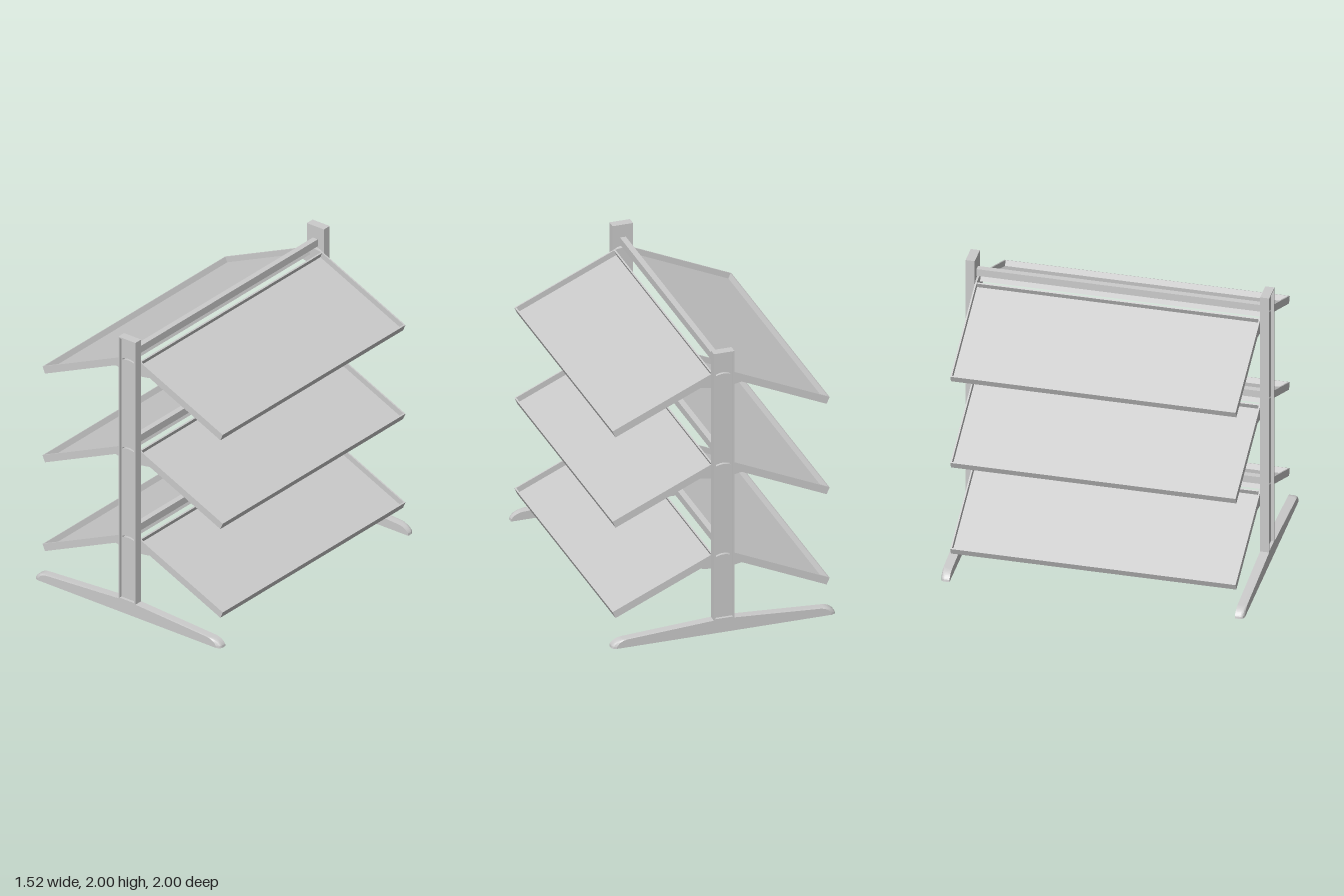
import * as THREE from 'three';

const material = new THREE.MeshStandardMaterial({ color: 0xcccccc, flatShading: true });
const SLOPE = THREE.MathUtils.degToRad(24);
const LEVELS = [0.54, 1.187, 1.834]; // height of each shelf's inner rim
const INNER_X = 0.055; // inner rim to centre plane
const SHELF_LENGTH = 0.747, RIM = 0.05, HALF_Z = 0.94, SHEET = 0.012;

function add(parent, name, geometry, x = 0, y = 0, z = 0) {
  const mesh = new THREE.Mesh(geometry, material);
  mesh.name = name;
  mesh.position.set(x, y, z);
  parent.add(mesh);
  return mesh;
}

const box = (w, h, d) => new THREE.BoxGeometry(w, h, d);
const extrude = (shape, depth, steps = 1) =>
  new THREE.ExtrudeGeometry(shape, { depth, steps, bevelEnabled: false, curveSegments: 8 });

// Long tapering foot with rounded toes
function footGeometry() {
  const s = new THREE.Shape();
  s.moveTo(-0.76, 0);
  s.lineTo(0.76, 0);
  s.lineTo(0.757, 0.015);
  s.quadraticCurveTo(0.735, 0.05, 0.685, 0.056);
  s.lineTo(0.07, 0.092);
  s.lineTo(-0.07, 0.092);
  s.lineTo(-0.685, 0.056);
  s.quadraticCurveTo(-0.735, 0.05, -0.757, 0.015);
  const geometry = extrude(s, 0.06, 8);
  // Round the outer corners in plan
  const p = geometry.attributes.position;
  for (let i = 0; i < p.count; i++) {
    const x = p.getX(i), t = Math.max(0, (p.getZ(i) - 0.03) / 0.03);
    if (Math.abs(x) > 0.6) p.setX(i, x - Math.sign(x) * 0.03 * (1 - Math.sqrt(Math.max(0, 1 - t * t))));
  }
  geometry.computeVertexNormals();
  return geometry;
}

// Post web with a crescent slot over each shelf joint
function webGeometry() {
  const s = new THREE.Shape();
  s.moveTo(-0.07, 0.09);
  s.lineTo(0.07, 0.09);
  s.lineTo(0.07, 2);
  s.lineTo(-0.07, 2);
  for (const y of LEVELS) {
    const slot = new THREE.Path();
    slot.moveTo(-0.05, y - 0.005);
    slot.quadraticCurveTo(0, y + 0.016, 0.05, y - 0.005);
    slot.lineTo(0.05, y + 0.006);
    slot.quadraticCurveTo(0, y + 0.028, -0.05, y + 0.006);
    slot.closePath();
    s.holes.push(slot);
  }
  return extrude(s, 0.04);
}

// Upright frame: foot and a channel post open to the outside
function createUpright() {
  const g = new THREE.Group();
  g.name = 'upright';
  add(g, 'foot', footGeometry(), 0, 0, HALF_Z);
  add(g, 'postWeb', webGeometry(), 0, 0, HALF_Z);
  for (const side of [-1, 1]) add(g, 'postFlange', box(0.01, 1.91, 0.02), side * 0.065, 1.045, 0.99);
  add(g, 'postCap', box(0.12, 0.008, 0.02), 0, 1.996, 0.99);
  add(g, 'postBase', box(0.12, 0.01, 0.02), 0, 0.095, 0.99);
  return g;
}

// One sloping tray: sunken panel with a raised lip on both long edges
function createTray() {
  const g = new THREE.Group();
  g.name = 'tray';
  const depth = 2 * HALF_Z - 0.02;
  add(g, 'panel', box(SHELF_LENGTH - 0.02, SHEET, depth), SHELF_LENGTH / 2, -RIM + SHEET / 2);
  add(g, 'innerLip', box(0.01, RIM, depth), 0.005, -RIM / 2);
  add(g, 'outerLip', box(0.01, RIM, depth), SHELF_LENGTH - 0.005, -RIM / 2);
  g.position.x = INNER_X;
  g.rotation.z = -SLOPE;
  return g;
}

// End plate joining both trays across the middle with a curved belly
function endPlateGeometry() {
  const c = Math.cos(SLOPE), n = Math.sin(SLOPE);
  const tipX = INNER_X + SHELF_LENGTH * c, tipY = -SHELF_LENGTH * n;
  const lowX = tipX - RIM * n, lowY = tipY - RIM * c;
  const neckX = 0.14, neckY = lowY + (lowX - neckX) * Math.tan(SLOPE);
  const s = new THREE.Shape();
  s.moveTo(INNER_X, 0);
  s.lineTo(tipX, tipY);
  s.lineTo(lowX, lowY);
  s.lineTo(neckX, neckY);
  s.quadraticCurveTo(0, neckY - 0.03, -neckX, neckY);
  s.lineTo(-lowX, lowY);
  s.lineTo(-tipX, tipY);
  s.lineTo(-INNER_X, 0);
  s.quadraticCurveTo(0, 0.011, INNER_X, 0);
  return extrude(s, 0.01);
}

// Double-sided shelf with its rail above the ridge
function createShelf(y) {
  const g = new THREE.Group();
  g.name = 'shelf';
  g.position.y = y;
  for (const turn of [0, Math.PI]) {
    const half = new THREE.Group();
    half.name = 'shelfHalf';
    half.rotation.y = turn;
    half.add(createTray());
    add(half, 'endPlate', endPlateGeometry(), 0, 0, HALF_Z - 0.01);
    g.add(half);
  }
  add(g, 'ridgeRail', box(0.04, 0.05, 2 * HALF_Z), 0, 0.052, 0);
  return g;
}

export function createModel() {
  const model = new THREE.Group();
  model.name = 'displayRack';
  for (const turn of [0, Math.PI]) {
    const upright = createUpright();
    upright.rotation.y = turn;
    model.add(upright);
  }
  for (const y of LEVELS) model.add(createShelf(y));
  return model;
}
